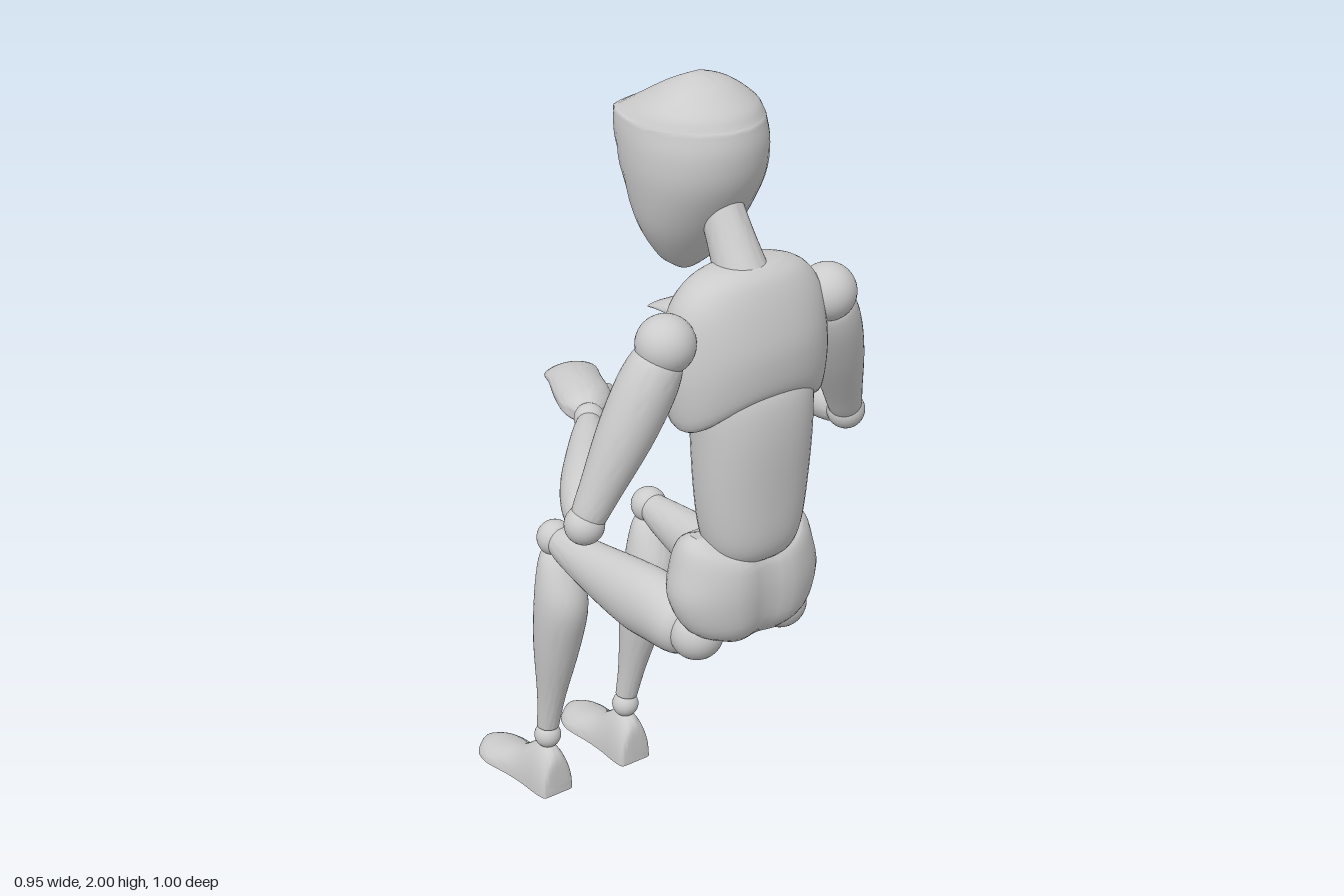
import * as THREE from 'three';
import { toCreasedNormals } from 'three/addons/utils/BufferGeometryUtils.js';

const material = new THREE.MeshStandardMaterial({ color: 0xcccccc });
const V = (x, y, z) => new THREE.Vector3(x, y, z);
const SIDES = 40, STEPS = 4;

// Smooth curve through a table of rows, column by column
function smoothRows(rows) {
  const out = [], at = i => rows[Math.min(Math.max(i, 0), rows.length - 1)];
  for (let i = 0; i < rows.length - 1; i++) {
    for (let s = 0; s < STEPS; s++) {
      const t = s / STEPS;
      out.push(rows[i].map((p1, c) => {
        const p0 = at(i - 1)[c], p2 = at(i + 1)[c], p3 = at(i + 2)[c];
        return p1 + 0.5 * t * (p2 - p0 + t * (2 * p0 - 5 * p1 + 4 * p2 - p3 + t * (3 * (p1 - p2) + p3 - p0)));
      }));
    }
  }
  out.push(at(rows.length - 1));
  return out;
}

// Closed skin over cross-sections; section(row, cos, sin) gives a point
function loft(name, rows, section, crease = 0.75) {
  const rings = smoothRows(rows).map(row => Array.from({ length: SIDES }, (_, j) => {
    const a = j / SIDES * Math.PI * 2;
    return section(row, Math.cos(a), Math.sin(a));
  }));
  const points = rings.flat(), index = [], last = rings.length - 1;
  for (const r of [rings[0], rings[last]]) {
    points.push(r.reduce((sum, p) => sum.add(p), V(0, 0, 0)).divideScalar(SIDES));
  }
  const endCap = points.length - 1;
  for (let j = 0; j < SIDES; j++) {
    const k = (j + 1) % SIDES;
    for (let i = 0; i < last; i++) {
      const a = i * SIDES + j, b = i * SIDES + k;
      index.push(a, b, a + SIDES, b, b + SIDES, a + SIDES);
    }
    index.push(endCap - 1, k, j, endCap, last * SIDES + j, last * SIDES + k);
  }
  // Turn the faces outward
  let volume = 0;
  for (let i = 0; i < index.length; i += 3) {
    const [a, b, c] = [0, 1, 2].map(n => points[index[i + n]]);
    volume += a.dot(b.clone().cross(c));
  }
  if (volume < 0) index.reverse();
  const geometry = new THREE.BufferGeometry().setFromPoints(points);
  geometry.setIndex(index);
  const mesh = new THREE.Mesh(toCreasedNormals(geometry, crease), material);
  mesh.name = name;
  return mesh;
}

// Limb from a to b; rows are [t, half width, half depth, depth offset]
function limb(name, a, b, rows, hint = V(0, 1, 0)) {
  const dir = b.clone().sub(a), n = dir.clone().normalize();
  const depth = hint.clone().addScaledVector(n, -hint.dot(n)).normalize();
  const side = n.clone().cross(depth);
  return loft(name, rows, ([t, w, d = w, off = 0], c, s) => a.clone().addScaledVector(dir, t)
    .addScaledVector(side, w * c).addScaledVector(depth, d * s + off));
}

function ball(name, centre, r) {
  const mesh = new THREE.Mesh(new THREE.SphereGeometry(r, 32, 20), material);
  mesh.position.copy(centre);
  mesh.name = name;
  return mesh;
}

const soft = (v, p) => Math.sign(v) * Math.abs(v) ** p;

// Hand pointing along -z from the wrist; s = 1 puts the thumb on -x
function hand(name, wrist, s, yaw) {
  const g = new THREE.Group();
  g.name = name;
  // [distance, centre x, half width, centre y, half thickness]
  g.add(loft('palmAndFingers', [
    [0.015, 0, 0.026, 0, 0.024], [0.055, 0, 0.054, 0.006, 0.034], [0.12, 0, 0.067, 0.012, 0.033],
    [0.2, 0.008, 0.064, 0.015, 0.025], [0.26, 0.012, 0.065, 0.01, 0.017], [0.31, 0.012, 0.056, -0.006, 0.008],
  ], ([d, cx, w, cy, h], c, sn) => {
    const x = w * c, droop = 0.25 * x * x / 0.065;
    return V(s * cx + x, cy + h * sn - droop * 0.6, -d + Math.max(0, d - 0.2) * 2.6 * s * x);
  }));
  g.add(limb('thumb', V(-0.045 * s, 0, -0.06), V(-0.077 * s, -0.038, -0.245),
    [[0, 0.012], [0.15, 0.022], [0.5, 0.02], [0.85, 0.014], [0.97, 0.009], [1, 0.003]]));
  g.position.copy(wrist);
  g.rotation.y = yaw;
  return g;
}

const upperArm = [[0.05, 0.045], [0.1, 0.06], [0.25, 0.068], [0.5, 0.064], [0.8, 0.048], [0.95, 0.04], [1, 0.03]];
const forearm = [[0.03, 0.03], [0.09, 0.048], [0.25, 0.058], [0.45, 0.057], [0.75, 0.044], [0.9, 0.034], [0.96, 0.028]];
const thigh = [[0.02, 0.045, 0.045, 0], [0.08, 0.072, 0.075, 0], [0.25, 0.073, 0.088, 0], [0.42, 0.07, 0.087, -0.006],
  [0.7, 0.056, 0.065, -0.008], [0.9, 0.043, 0.046, -0.005], [0.97, 0.036, 0.036, 0]];
const shin = [[0.04, 0.026, 0.026, 0], [0.11, 0.048, 0.05, 0.015], [0.27, 0.064, 0.073, 0.035],
  [0.5, 0.058, 0.062, 0.025], [0.78, 0.036, 0.037, 0.01], [0.95, 0.028, 0.028, 0]];
// Foot rows: [z, half width, height]
const footRows = [[-0.175, 0.035, 0.05], [-0.182, 0.046, 0.105], [-0.22, 0.05, 0.13], [-0.27, 0.05, 0.112],
  [-0.33, 0.055, 0.072], [-0.41, 0.067, 0.045], [-0.46, 0.055, 0.034], [-0.49, 0.026, 0.022], [-0.498, 0.008, 0.012]];

export function createModel() {
  const model = new THREE.Group();
  model.name = 'seatedMannequin';

  // Head: rows [y, back z, face z, half width, face curvature]
  model.add(loft('head', [
    [1.535, 0.175, 0.15, 0.02, 0.005], [1.55, 0.195, 0.135, 0.045, 0.02], [1.58, 0.225, 0.11, 0.08, 0.045],
    [1.66, 0.285, 0.064, 0.13, 0.085], [1.767, 0.345, 0.03, 0.157, 0.1], [1.846, 0.36, 0.015, 0.162, 0.08],
    [1.9, 0.352, 0.008, 0.156, 0.055], [1.912, 0.345, 0.028, 0.151, 0.04], [1.94, 0.325, 0.08, 0.13, 0.02],
    [1.98, 0.27, 0.143, 0.075, 0.01], [2, 0.215, 0.185, 0.02, 0],
  ], ([y, back, face, w, k], c, s) => {
    const mid = (back + face) / 2, r = back - mid;
    const z = s > 0 ? mid + r * s : Math.max(mid + (r + 0.2 * r) * s, face + k * c * c);
    return V(-0.013 + w * c, y, z);
  }, 0.5));
  model.add(limb('neck', V(-0.015, 1.57, 0.365), V(-0.015, 1.75, 0.265), [[0, 0.063], [0.5, 0.053], [1, 0.048]]));

  // Torso: rows [y, centre z, half width, half depth, rim arch]
  const torso = (name, rows, power, dent = 0) => loft(name, rows, ([y, cz, w, d, arch], c, s) => {
    const x = w * soft(c, power);
    const cleft = s > 0 ? dent * s * Math.exp(-((x / 0.045) ** 2)) : 0;
    return V(-0.008 + x, y + arch * s * s, cz + d * soft(s, power) - cleft);
  });
  model.add(torso('chest', [
    [1.25, 0.375, 0.165, 0.09, 0.07], [1.265, 0.37, 0.195, 0.116, 0.07], [1.36, 0.367, 0.21, 0.127, 0.025],
    [1.45, 0.366, 0.206, 0.125, 0], [1.53, 0.364, 0.193, 0.105, 0], [1.585, 0.365, 0.15, 0.078, 0], [1.61, 0.365, 0.09, 0.05, 0],
  ], 0.9));
  model.add(torso('waist', [
    [0.905, 0.4, 0.06, 0.045, 0], [0.918, 0.4, 0.098, 0.07, 0], [0.97, 0.396, 0.125, 0.092, 0], [1.08, 0.395, 0.142, 0.1, 0],
    [1.22, 0.395, 0.152, 0.105, 0], [1.31, 0.39, 0.155, 0.1, 0], [1.36, 0.385, 0.14, 0.08, 0],
  ], 0.9));
  model.add(torso('pelvis', [
    [0.7, 0.4, 0.09, 0.045, 0], [0.74, 0.385, 0.165, 0.09, 0], [0.82, 0.37, 0.2, 0.115, 0], [0.9, 0.366, 0.187, 0.114, -0.01],
    [0.95, 0.366, 0.17, 0.1, -0.03], [0.972, 0.366, 0.145, 0.08, -0.05],
  ], 0.95, 0.02));

  // Arms and legs, each side with its own pose
  const poses = [
    { side: 'left', shoulder: V(0.21, 1.49, 0.39), elbow: V(0.385, 1.1, 0.27), wrist: V(0.397, 1.135, -0.135),
      thumb: 1, yaw: 0, hip: V(0.125, 0.705, 0.35), knee: V(0.147, 0.733, -0.187), ankle: V(0.1, 0.152, -0.225), toe: 0.12 },
    { side: 'right', shoulder: V(-0.25, 1.485, 0.39), elbow: V(-0.432, 1.08, 0.335), wrist: V(-0.182, 1.145, 0.015),
      thumb: -1, yaw: -0.51, hip: V(-0.125, 0.705, 0.35), knee: V(-0.142, 0.733, -0.187), ankle: V(-0.147, 0.152, -0.225), toe: -0.147 },
  ];
  for (const p of poses) {
    const arm = new THREE.Group(), leg = new THREE.Group();
    arm.name = p.side + 'Arm';
    leg.name = p.side + 'Leg';
    arm.add(
      ball('shoulderJoint', p.shoulder, 0.068), limb('upperArm', p.shoulder, p.elbow, upperArm),
      ball('elbowJoint', p.elbow, 0.046), limb('forearm', p.elbow, p.wrist, forearm),
      ball('wristJoint', p.wrist, 0.036), hand('hand', p.wrist, p.thumb, p.yaw));
    leg.add(
      ball('hipJoint', p.hip, 0.064), limb('thigh', p.hip, p.knee, thigh),
      ball('kneeJoint', p.knee, 0.045), limb('shin', p.knee, p.ankle, shin, V(0, 0, 1)),
      ball('ankleJoint', p.ankle, 0.034),
      loft('foot', footRows, ([z, w, h], c, s) => {
        const t = (z + 0.175) / -0.32;
        return V(THREE.MathUtils.lerp(p.ankle.x - 0.003, p.toe, t) + w * c, s > 0 ? h * s : 0, z);
      }));
    model.add(arm, leg);
  }
  return model;
}
